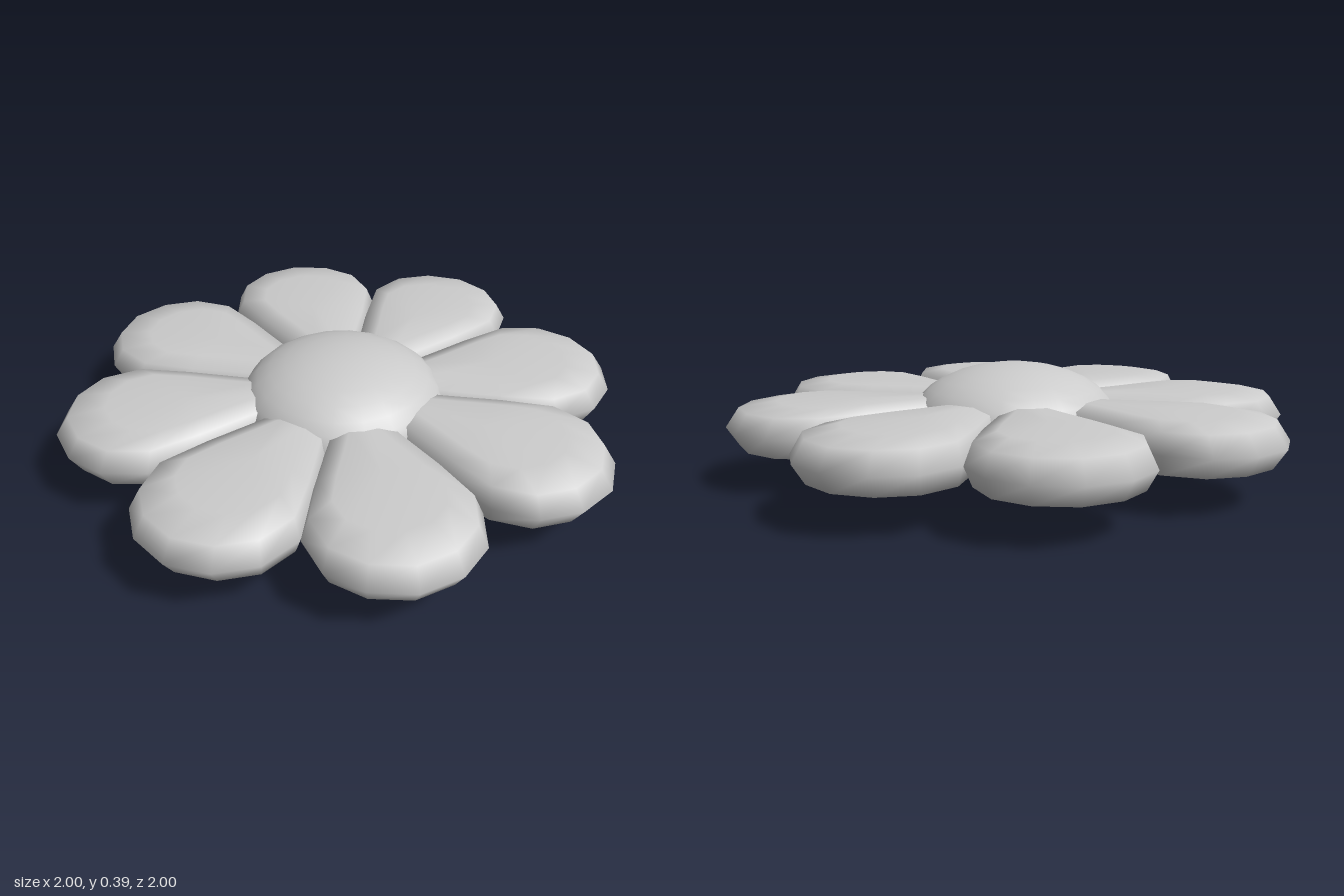
import * as THREE from 'three';
import { mergeVertices } from 'three/addons/utils/BufferGeometryUtils.js';

const material = new THREE.MeshStandardMaterial({ color: 0xcccccc });
const MID_Y = 0.2;

// Half outline of a petal as [half width, distance from the centre]
const HALF = [
  [0.03, 0.03], [0.07, 0.15], [0.14, 0.33], [0.22, 0.52],
  [0.285, 0.71], [0.25, 0.86], [0.145, 0.96],
];
// Bevel levels: [outline scale, height offset]
const LEVELS = [
  [0, -0.088], [0.62, -0.087], [0.9, -0.067], [1, 0],
  [0.9, 0.067], [0.62, 0.087], [0, 0.088],
];

// Pillow-shaped petal pointing along +z: the outline shrinks towards its middle
function petalGeometry() {
  const outline = [...HALF, [0, 1], ...HALF.map(([w, z]) => [-w, z]).reverse()];
  const n = outline.length;
  const middle = 0.55;
  const positions = [];
  const index = [];
  for (const [scale, y] of LEVELS) {
    for (const [w, z] of outline) positions.push(w * scale, y, middle + (z - middle) * scale);
  }
  for (let j = 0; j < LEVELS.length - 1; j++) {
    for (let i = 0; i < n; i++) {
      const a = j * n + i;
      const b = j * n + ((i + 1) % n);
      if (j > 0) index.push(a, a + n, b);
      if (j < LEVELS.length - 2) index.push(b, a + n, b + n);
      else if (j === 0) index.push(b, a + n, b + n);
    }
  }
  let geometry = new THREE.BufferGeometry();
  geometry.setAttribute('position', new THREE.Float32BufferAttribute(positions, 3));
  geometry.setIndex(index);
  geometry = mergeVertices(geometry);
  geometry.computeVertexNormals();
  return geometry;
}

export function createModel() {
  const flower = new THREE.Group();
  flower.name = 'flower';

  // Domed centre, bulging above and below the petals
  const hub = new THREE.Mesh(new THREE.SphereGeometry(1, 20, 16).scale(0.366, 0.197, 0.366), material);
  hub.name = 'flowerCentre';
  hub.position.y = MID_Y;
  flower.add(hub);

  // Eight petals, the diagonal ones turned very slightly
  const geometry = petalGeometry();
  for (let i = 0; i < 8; i++) {
    const petal = new THREE.Mesh(geometry, material);
    petal.name = `petal${i + 1}`;
    petal.position.y = MID_Y;
    petal.rotation.y = (i * Math.PI) / 4 + (i % 2 ? 0.02 : 0);
    flower.add(petal);
  }
  return flower;
}
